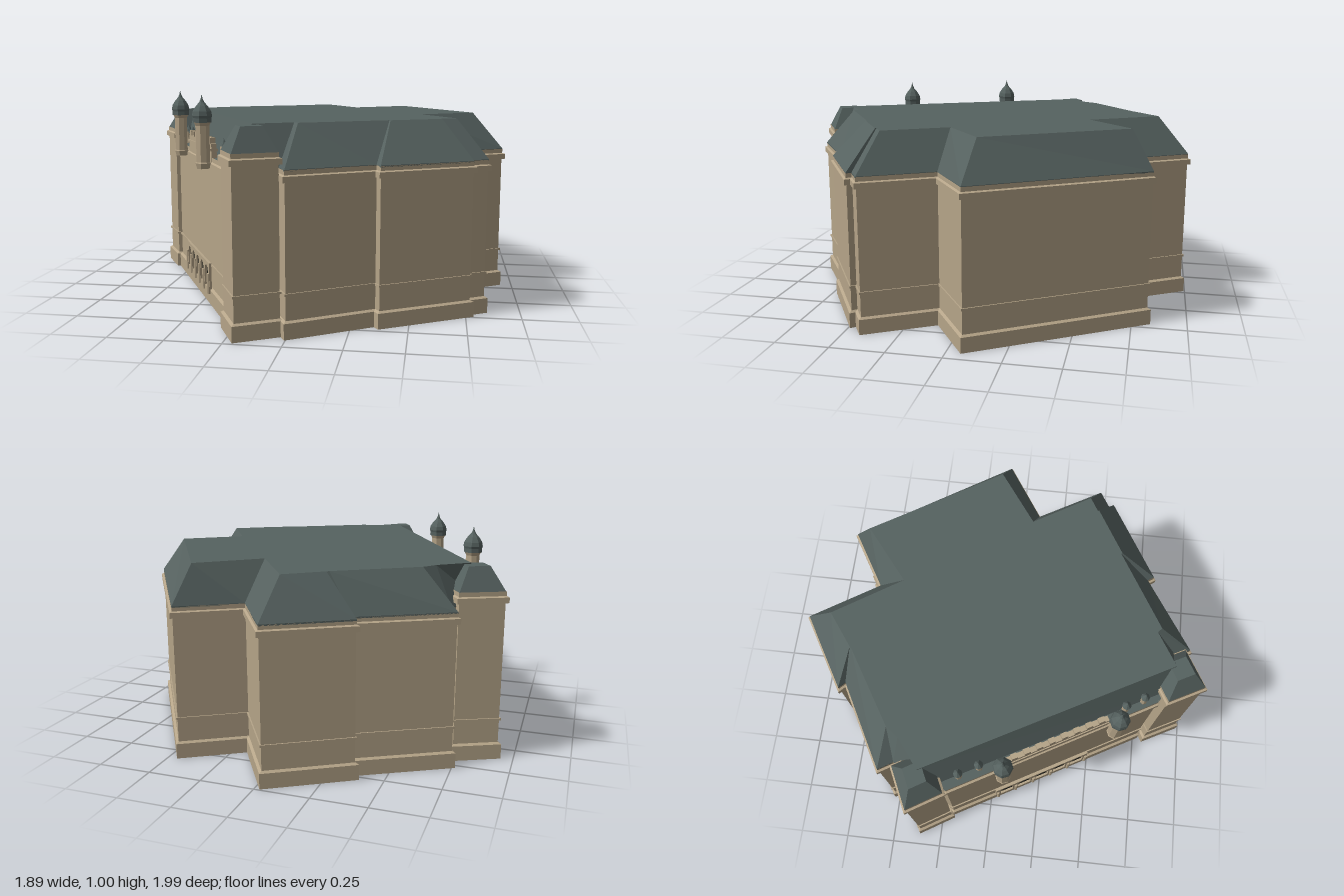
import * as THREE from 'three';

const stone = new THREE.MeshStandardMaterial({ color: 0xb5a488, flatShading: true, side: THREE.DoubleSide });
const slate = new THREE.MeshStandardMaterial({ color: 0x566260, flatShading: true, side: THREE.DoubleSide });
const dark = new THREE.MeshStandardMaterial({ color: 0x22241f, side: THREE.DoubleSide });

// Shrinks a plan outline [x, z] by d with mitred corners
function inset(ring, d) {
  const n = ring.length;
  const normal = (a, b) => {
    const dx = b[0] - a[0], dz = b[1] - a[1], l = Math.hypot(dx, dz);
    return [-dz / l, dx / l];
  };
  return ring.map((p, i) => {
    const a = normal(ring[(i + n - 1) % n], p), b = normal(p, ring[(i + 1) % n]);
    const k = d / (1 + a[0] * b[0] + a[1] * b[1]);
    return [p[0] + (a[0] + b[0]) * k, p[1] + (a[1] + b[1]) * k];
  });
}

// Skins a stack of plan rings [ring, y], with an optional flat top
function loft(levels, capped) {
  const pos = [];
  const tri = (...pts) => pts.forEach((p) => pos.push(...p));
  for (let k = 0; k + 1 < levels.length; k++) {
    const [lo, y0] = levels[k], [hi, y1] = levels[k + 1];
    for (let i = 0; i < lo.length; i++) {
      const j = (i + 1) % lo.length;
      const a = [lo[i][0], y0, lo[i][1]], b = [lo[j][0], y0, lo[j][1]];
      const c = [hi[j][0], y1, hi[j][1]], d = [hi[i][0], y1, hi[i][1]];
      tri(a, c, b);
      tri(a, d, c);
    }
  }
  if (capped) {
    const [top, y] = levels[levels.length - 1];
    const faces = THREE.ShapeUtils.triangulateShape(top.map((p) => new THREE.Vector2(...p)), []);
    for (const f of faces) {
      const [a, b, c] = f.map((i) => top[i]);
      const up = (b[1] - a[1]) * (c[0] - a[0]) - (b[0] - a[0]) * (c[1] - a[1]) > 0;
      tri(...(up ? [a, b, c] : [a, c, b]).map((p) => [p[0], y, p[1]]));
    }
  }
  const g = new THREE.BufferGeometry();
  g.setAttribute('position', new THREE.Float32BufferAttribute(pos, 3));
  g.computeVertexNormals();
  return g;
}

// Plan corners: [cornice x, z, flat roof x, z]
const plan = [
  [-0.025, -0.995, -0.065, -0.83], [0.18, -0.67, 0.14, -0.51],
  [0.455, -0.835, 0.40, -0.72], [0.945, -0.065, 0.78, -0.10],
  [0.67, 0.11, 0.525, 0.08], [0.85, 0.42, 0.69, 0.355],
  [0.765, 0.47, 0.62, 0.395], [0.785, 0.49, 0.625, 0.40],
  [0.37, 0.73, 0.40, 0.53], [0.35, 0.70, 0.395, 0.525],
  [-0.005, 0.925, 0.025, 0.74], [-0.045, 0.85, 0.005, 0.72],
  [-0.29, 0.775, -0.155, 0.815], [-0.825, -0.19, -0.765, -0.315],
  [-0.72, -0.45, -0.63, -0.42], [-0.765, -0.525, -0.585, -0.48],
  [-0.365, -0.745, -0.235, -0.70], [-0.395, -0.775, -0.225, -0.71],
];
const towers = {
  southTower: [[-0.015, 0.88], [-0.21, 0.99], [-0.31, 0.80], [-0.115, 0.69]],
  northTower: [[-0.63, -0.285], [-0.84, -0.185], [-0.945, -0.36], [-0.735, -0.46]],
};

// Walls with plinth, string course and a two-step cornice
function walls(ring, top) {
  const profile = [
    [0, 0], [0, 0.07], [0.012, 0.078], [0.012, 0.185], [0.006, 0.185], [0.006, 0.195], [0.012, 0.195],
    [0.012, top - 0.05], [0, top - 0.05], [0, top - 0.025], [0.01, top - 0.02], [0.01, top],
  ];
  return loft(profile.map(([d, y]) => [inset(ring, d), y]));
}

export function createModel() {
  const model = new THREE.Group();
  const add = (name, geometry, material, parent = model) => {
    const m = new THREE.Mesh(geometry, material);
    m.name = name;
    parent.add(m);
    return m;
  };

  // Main block and mansard roof, with a walkway behind the entrance front
  const outline = plan.map((p) => [p[0], p[1]]);
  const flat = plan.map((p) => [p[2], p[3]]);
  const eaves = inset(outline, 0.01);
  const roofFoot = eaves.map((p) => [...p]);
  roofFoot[12] = [-0.22, 0.81];
  roofFoot[13] = [-0.80, -0.26];
  add('mainWalls', walls(outline, 0.71), stone);
  add('mansardRoof', loft([[eaves, 0.705], [roofFoot, 0.712], [flat, 0.89]], true), slate);

  // Corner towers with hipped roofs
  for (const [name, ring] of Object.entries(towers)) {
    const tower = new THREE.Group();
    tower.name = name;
    model.add(tower);
    const cx = ring.reduce((s, p) => s + p[0], 0) / 4, cz = ring.reduce((s, p) => s + p[1], 0) / 4;
    const top = ring.map(([x, z]) => [x + (cx - x) * 0.58, z + (cz - z) * 0.58]);
    add('towerWalls', walls(ring, 0.78), stone, tower);
    add('towerRoof', loft([[inset(ring, 0.01), 0.775], [top, 0.885]], true), slate, tower);
  }

  // Entrance front: local x runs along the wall, local z points outward
  const front = new THREE.Group();
  front.name = 'entranceFront';
  front.position.set(-0.5575, 0, 0.2925);
  front.rotation.y = -Math.atan2(0.965, 0.535);
  model.add(front);
  const box = (name, w, h, d, x, y, z) =>
    add(name, new THREE.BoxGeometry(w, h, d), stone, front).position.set(x, y, z);

  // Arcade of five arched openings
  const arch = (x, w, y0, y1) => {
    const s = new THREE.Path();
    s.moveTo(x - w, y0);
    s.lineTo(x + w, y0);
    s.lineTo(x + w, y1);
    s.absarc(x, y1, w, 0, Math.PI, false);
    s.lineTo(x - w, y0);
    return s;
  };
  const screen = new THREE.Shape();
  screen.moveTo(-0.265, 0.05);
  screen.lineTo(0.265, 0.05);
  screen.lineTo(0.265, 0.2);
  screen.lineTo(-0.265, 0.2);
  for (let i = -2; i <= 2; i++) screen.holes.push(arch(i * 0.102, 0.036, 0.075, 0.145));
  const arcade = add('arcade', new THREE.ExtrudeGeometry(screen, { depth: 0.012, bevelEnabled: false }), stone, front);
  arcade.position.set(-0.04, 0, -0.008);
  add('arcadeShadow', new THREE.PlaneGeometry(0.5, 0.13), dark, front).position.set(-0.04, 0.125, -0.007);
  for (let i = 0; i < 6; i++) {
    const post = add('arcadeColumn', new THREE.CylinderGeometry(0.008, 0.008, 0.1, 8), stone, front);
    post.position.set(-0.295 + i * 0.102, 0.1, 0.006);
  }

  // Battlemented parapet between the turrets
  box('parapet', 0.52, 0.085, 0.025, 0.02, 0.73, -0.02);
  box('parapetBand', 0.52, 0.012, 0.035, 0.02, 0.745, -0.02);
  for (let i = 0; i < 8; i++) box('merlon', 0.03, 0.03, 0.025, -0.2 + i * 0.063, 0.785, -0.02);

  // Octagonal turrets with ogee caps
  const shaft = [[0, 0.665], [0.03, 0.665], [0.036, 0.69], [0.033, 0.695], [0.033, 0.86], [0.04, 0.875], [0, 0.875]];
  const cap = [[0, 0.875], [0.044, 0.875], [0.044, 0.895], [0.047, 0.905], [0.043, 0.925], [0.028, 0.948], [0.012, 0.965], [0.005, 0.98], [0, 1.0]];
  const lathe = (pts) => new THREE.LatheGeometry(pts.map((p) => new THREE.Vector2(...p)), 8);
  for (const [x, z] of [[-0.715, 0.065], [-0.445, 0.567]]) {
    const turret = new THREE.Group();
    turret.name = 'turret';
    turret.position.set(x, 0, z);
    model.add(turret);
    add('turretShaft', lathe(shaft), stone, turret);
    add('turretCap', lathe(cap), slate, turret);
  }

  // Small pinnacles on the walkway
  for (const [x, z] of [[-0.74, -0.14], [-0.69, -0.05], [-0.335, 0.61], [-0.285, 0.695]]) {
    add('pinnacle', new THREE.CylinderGeometry(0.017, 0.017, 0.07, 8), stone).position.set(x, 0.74, z);
    add('pinnacleCap', new THREE.ConeGeometry(0.022, 0.035, 8), slate).position.set(x, 0.79, z);
  }
  return model;
}
